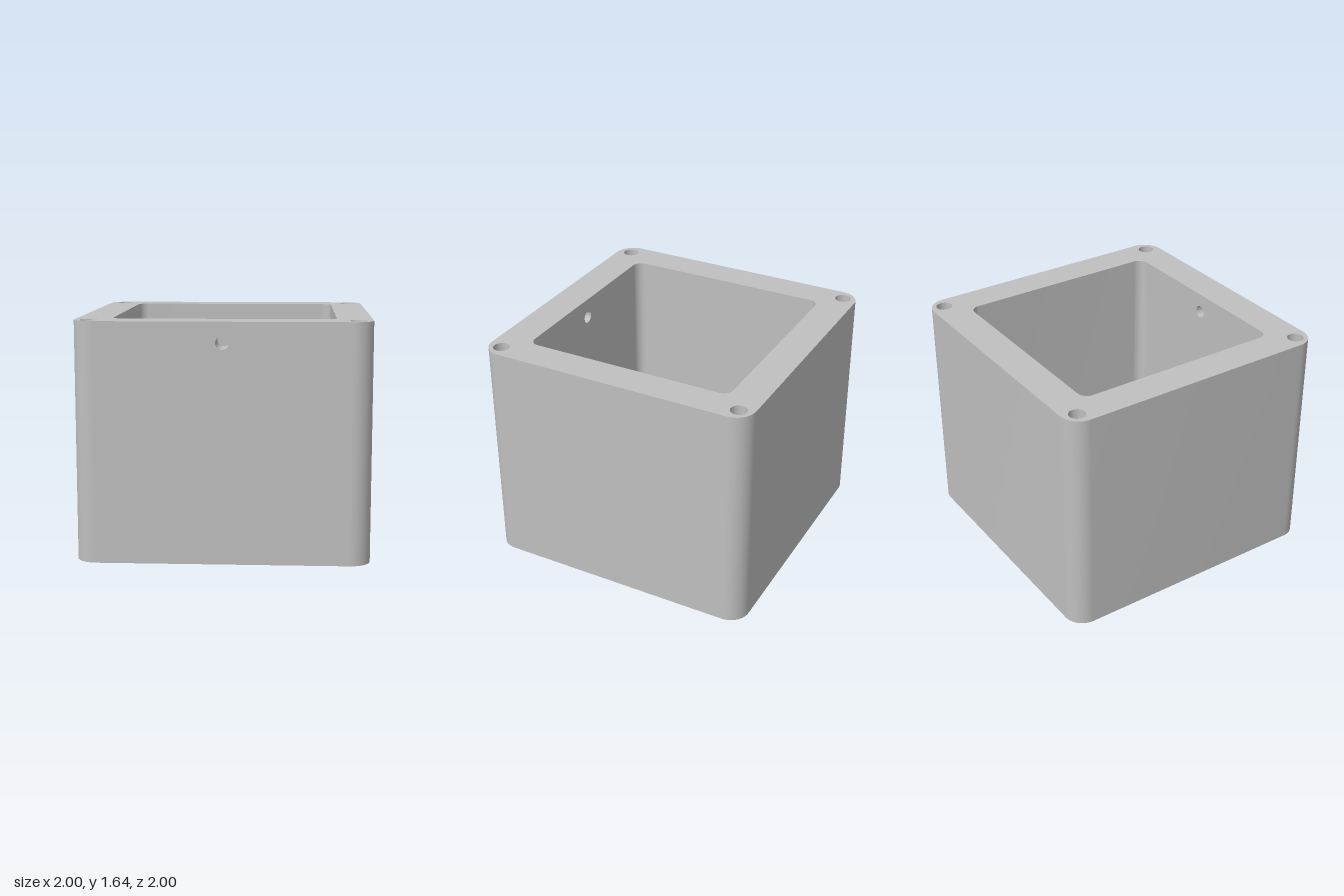
import * as THREE from 'three';
import { toCreasedNormals } from 'three/addons/utils/BufferGeometryUtils.js';

const H = 1.64, FLOOR = 0.1;          // total height, floor thickness
const OUT = 1, OUT_R = 0.14;          // outer half width and corner radius
const IN = 0.76, IN_R = 0.07;         // cavity half width and corner radius
const SCREW = { at: 0.897, r: 0.057, depth: 0.5 };
const MOUNT = { at: 0.517, r: 0.05 };
const PORT = { y: 1.5, r: 0.045 };    // round hole through the front wall

// Points of an arc; plan coordinates are (x, -z), counter-clockwise
function arc(cx, cy, r, a0, a1, n) {
  return Array.from({ length: n + 1 }, (_, i) => {
    const a = a0 + (a1 - a0) * i / n;
    return new THREE.Vector2(cx + r * Math.cos(a), cy + r * Math.sin(a));
  });
}
const circle = (x, y, r, n = 40) => arc(x, y, r, 0, Math.PI * 2, n).slice(0, -1);

// Rounded square whose closing segment is the straight front side
function roundedSquare(half, r) {
  const c = half - r, q = Math.PI / 2;
  return [[c, -c], [c, c], [-c, c], [-c, -c]]
    .flatMap(([x, y], i) => arc(x, y, r, (i - 1) * q, i * q, 16));
}

// Round floor opening with a flat back edge and filleted shoulders
function openingOutline() {
  const a = Math.atan2(0.18, 0.24), q = Math.PI / 2;
  return [
    ...arc(0.24, 0.18, 0.26, a, q, 16),
    ...arc(-0.24, 0.18, 0.26, q, Math.PI - a, 16),
    ...arc(0, 0, 0.56, Math.PI - a, Math.PI * 2 + a, 72).slice(1, -1),
  ];
}

// Upright band along a path; reversed paths face inwards
function band(points, y0, y1, closed = true) {
  const pos = [], n = points.length;
  for (let i = 0; i < (closed ? n : n - 1); i++) {
    const p = points[i], q = points[(i + 1) % n];
    const a = [p.x, y0, -p.y], b = [q.x, y0, -q.y];
    const c = [q.x, y1, -q.y], d = [p.x, y1, -p.y];
    pos.push(...a, ...b, ...c, ...a, ...c, ...d);
  }
  const g = new THREE.BufferGeometry();
  g.setAttribute('position', new THREE.Float32BufferAttribute(pos, 3));
  return toCreasedNormals(g, 0.5);
}
const bore = (points, y0, y1) => band([...points].reverse(), y0, y1);

function plate(outline, holes = []) {
  const shape = new THREE.Shape(outline);
  shape.holes = holes.map(h => new THREE.Path(h));
  return new THREE.ShapeGeometry(shape);
}

// Horizontal plate facing up or down
function level(outline, holes, y, down = false) {
  const g = plate(outline, holes);
  if (down) {
    const idx = g.index.array;
    for (let i = 0; i < idx.length; i += 3) [idx[i], idx[i + 1]] = [idx[i + 1], idx[i]];
    g.computeVertexNormals();
  }
  return g.rotateX(-Math.PI / 2).translate(0, y, 0);
}

// Flat front wall face with the port cut out
function frontFace(half, y0, y1) {
  const rect = [[-half, y0], [half, y0], [half, y1], [-half, y1]].map(p => new THREE.Vector2(...p));
  return plate(rect, [circle(0, PORT.y, PORT.r)]);
}

export function createModel() {
  const model = new THREE.Group();
  model.name = 'housing';
  const grey = new THREE.MeshStandardMaterial({ color: 0xbfbfbf });
  grey.name = 'plain grey';
  const add = (name, geometry) => {
    const mesh = new THREE.Mesh(geometry, grey);
    mesh.name = name;
    model.add(mesh);
  };

  const outer = roundedSquare(OUT, OUT_R), inner = roundedSquare(IN, IN_R);
  const opening = openingOutline();
  const corners = [[1, 1], [-1, 1], [-1, -1], [1, -1]];
  const mounts = corners.map(([x, y]) => circle(x * MOUNT.at, y * MOUNT.at, MOUNT.r));
  const screws = corners.map(([x, y]) => circle(x * SCREW.at, y * SCREW.at, SCREW.r));

  // Walls
  add('outerWalls', band(outer, 0, H, false));
  add('frontWallOutside', frontFace(OUT - OUT_R, 0, H).translate(0, 0, OUT));
  add('cavityWalls', band([...inner].reverse(), FLOOR, H, false));
  add('frontWallInside', frontFace(IN - IN_R, FLOOR, H).rotateY(Math.PI).translate(0, 0, IN));
  add('frontPort', bore(circle(0, 0, PORT.r), IN, OUT).rotateX(Math.PI / 2).translate(0, PORT.y, 0));

  // Rim and floor
  add('topRim', level(outer, [inner, ...screws], H));
  add('floorTop', level(inner, [opening, ...mounts], FLOOR));
  add('underside', level(outer, [opening, ...mounts], 0, true));
  add('floorOpening', bore(opening, 0, FLOOR));

  // Mounting holes through the floor and blind screw holes in the rim
  mounts.forEach(m => add('mountingHole', bore(m, 0, FLOOR)));
  screws.forEach(s => {
    add('screwHole', bore(s, H - SCREW.depth, H));
    add('screwHoleBottom', level(s, [], H - SCREW.depth));
  });
  return model;
}
